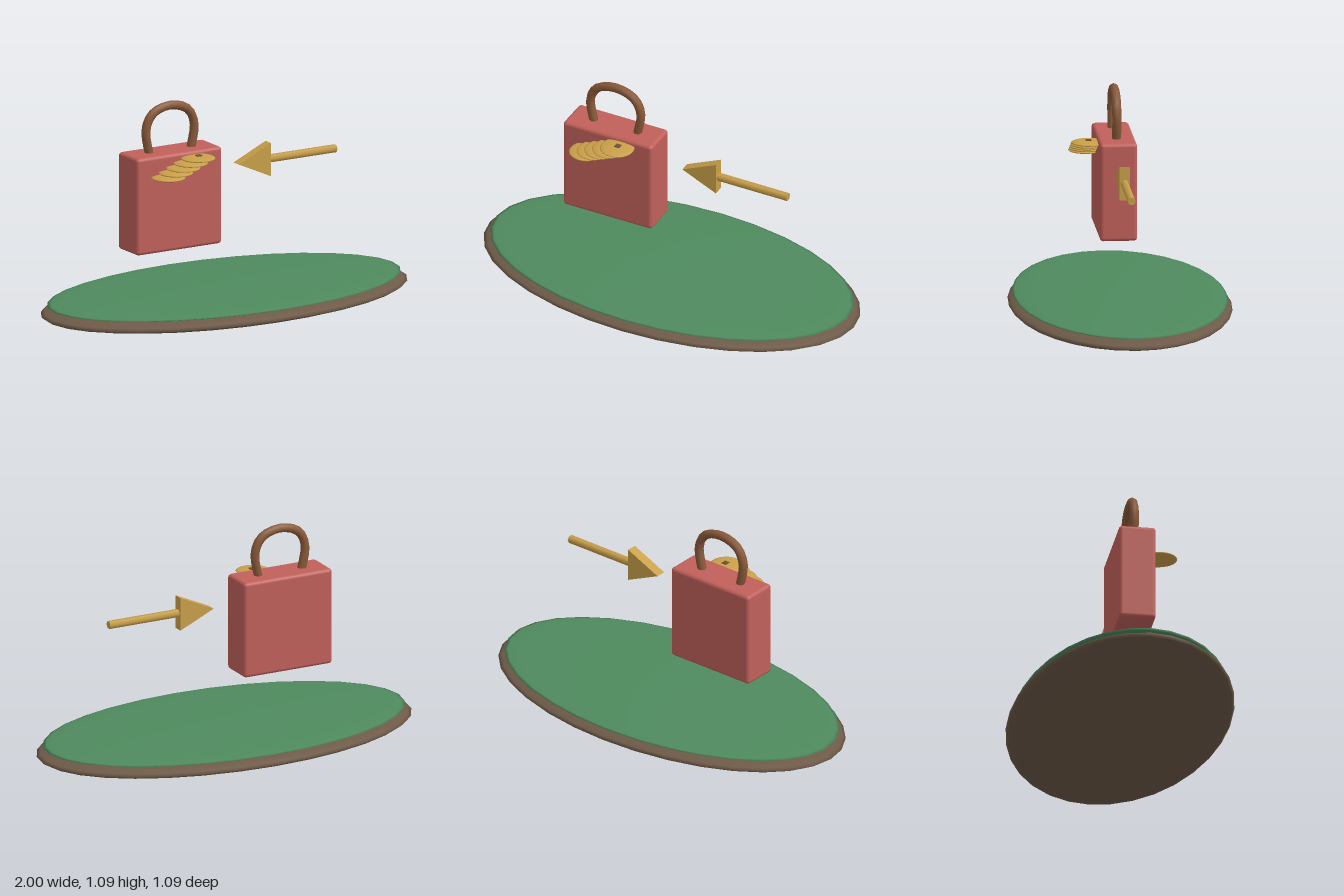
import * as THREE from 'three';
import { RoundedBoxGeometry } from 'three/addons/geometries/RoundedBoxGeometry.js';

const material = (color) => new THREE.MeshStandardMaterial({ color });
const soil = material(0x6e5a48);
const grass = material(0x4f8a5e);
const red = material(0xc0605a);
const leather = material(0x8a5a3a);
const gold = material(0xcaa04a);
const darkGold = material(0x6b5530);

export function createModel() {
  const model = new THREE.Group();

  const add = (name, geometry, mat, x, y, z, parent = model) => {
    const mesh = new THREE.Mesh(geometry, mat);
    mesh.name = name;
    mesh.position.set(x, y, z);
    parent.add(mesh);
    return mesh;
  };

  const ellipsoid = (rx, ry, rz, around = 32, rows = 16) =>
    new THREE.SphereGeometry(1, around, rows).scale(rx, ry, rz);

  // Flattened oval island with a thin green top
  add('islandBase', ellipsoid(1, 0.0586, 0.545), soil, 0, 0.0586, 0);
  add('grassTop', ellipsoid(0.965, 0.022, 0.522), grass, 0, 0.1025, 0);

  // Floating bag with softened edges
  const bag = new THREE.Group();
  bag.name = 'bag';
  bag.position.x = -0.31;
  model.add(bag);
  add('bagBody', new RoundedBoxGeometry(0.49, 0.489, 0.183, 3, 0.018), red, 0, 0.598, 0, bag);

  // Arched handle, its ends sunk into the bag
  const half = [[0.115, 0.81], [0.138, 0.96], [0.1, 1.034]];
  const path = new THREE.CatmullRomCurve3([
    ...half.map(([x, y]) => new THREE.Vector3(-x, y, 0)),
    new THREE.Vector3(0, 1.065, 0),
    ...half.reverse().map(([x, y]) => new THREE.Vector3(x, y, 0)),
  ]);
  add('handle', new THREE.TubeGeometry(path, 20, 0.0225, 8), leather, 0, 0, 0, bag);

  // Slanting stack of coins in front of the bag
  const coins = new THREE.Group();
  coins.name = 'coinStack';
  model.add(coins);
  const coinGeometry = ellipsoid(0.085, 0.011, 0.085, 24, 12);
  for (let i = 0; i < 5; i++) {
    add('coin', coinGeometry, gold, -0.402 + i * 0.0425, 0.741 + i * 0.0188, 0.134, coins);
  }
  add('coinMark', new THREE.BoxGeometry(0.027, 0.012, 0.027), darkGold, -0.228, 0.825, 0.134, coins);

  // Arrow pointing at the bag
  const arrow = new THREE.Group();
  arrow.name = 'arrow';
  arrow.position.y = 0.718;
  model.add(arrow);
  const shaft = new THREE.CylinderGeometry(0.0205, 0.0205, 0.386, 6).rotateZ(Math.PI / 2);
  add('arrowShaft', shaft, gold, 0.447, 0, 0, arrow);

  const triangle = new THREE.Shape([
    new THREE.Vector2(0.07, 0),
    new THREE.Vector2(0.255, -0.084),
    new THREE.Vector2(0.255, 0.084),
  ]);
  const head = new THREE.ExtrudeGeometry(triangle, { depth: 0.052, bevelEnabled: false });
  add('arrowHead', head, gold, 0, 0, -0.026, arrow);

  return model;
}
